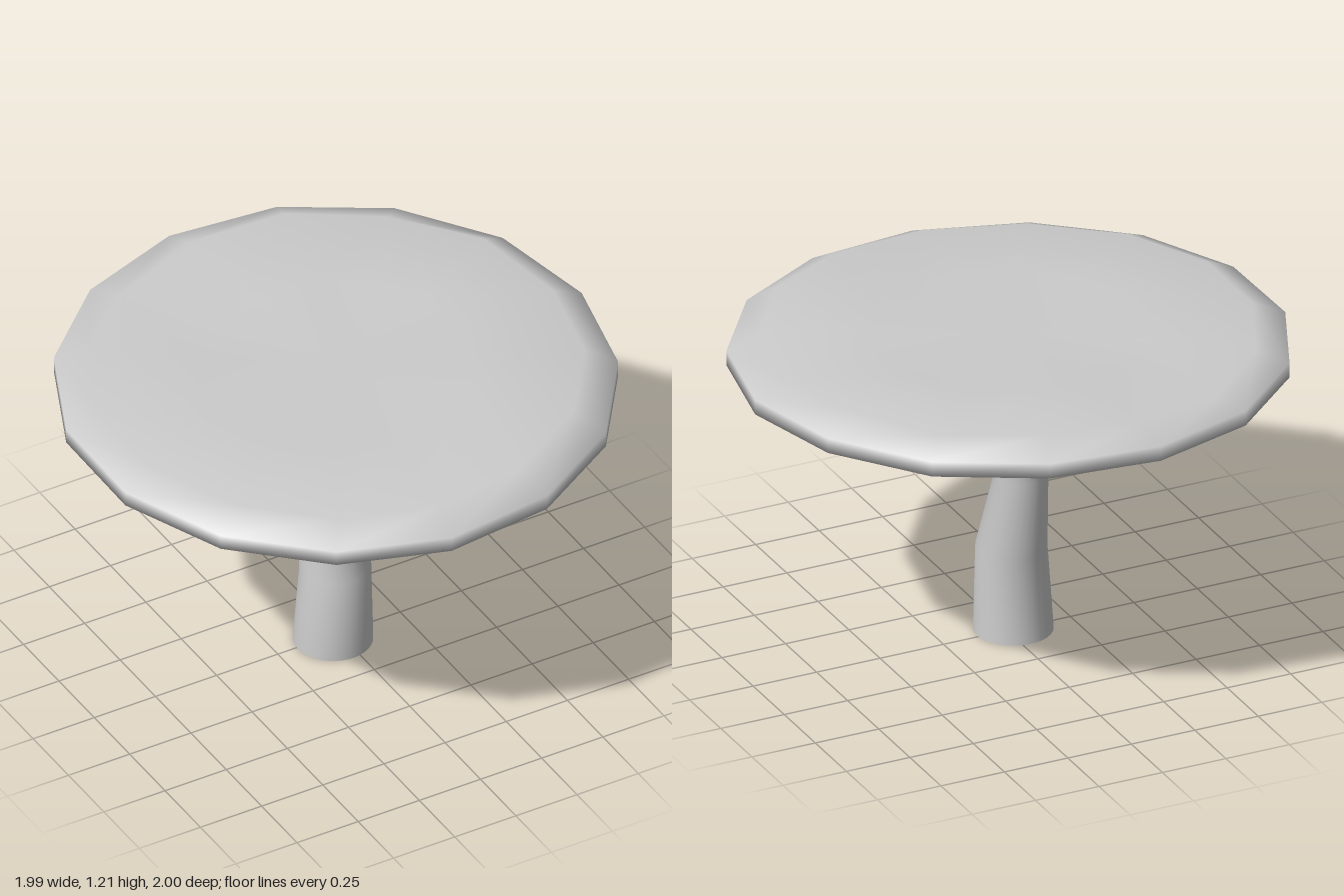
import * as THREE from 'three';

const material = new THREE.MeshStandardMaterial({ color: 0xcccccc, side: THREE.DoubleSide });

// Smooth skin over stacked rings; point(ring, i, angle) gives each corner as [x, y, z]
function loft(name, rings, sides, point) {
  const positions = [], index = [];
  rings.forEach((ring, k) => {
    for (let i = 0; i < sides; i++) {
      positions.push(...point(ring, i, (i / sides) * Math.PI * 2));
      if (k === 0) continue;
      const a = (k - 1) * sides + i, b = (k - 1) * sides + ((i + 1) % sides);
      // a zero-radius last ring closes to a shared pole
      if (ring.r === 0) index.push(a, k * sides, b);
      else index.push(a, a + sides, b, b, a + sides, b + sides);
    }
  });
  const geometry = new THREE.BufferGeometry();
  geometry.setAttribute('position', new THREE.Float32BufferAttribute(positions, 3));
  geometry.setIndex(index);
  geometry.computeVertexNormals();
  const mesh = new THREE.Mesh(geometry, material);
  mesh.name = name;
  return mesh;
}

export function createModel() {
  const group = new THREE.Group();
  group.name = 'mushroom';

  // Crooked stem, open at the foot; slope tilts a ring towards the front
  const stemRings = [
    { x: -0.03, y: 0, z: 0.01, r: 0.143, slope: 0 },
    { x: -0.028, y: 0.325, z: 0.022, r: 0.128, slope: 0.07 },
    { x: -0.028, y: 0.64, z: -0.056, r: 0.097, slope: 0 },
    { x: 0, y: 0.9, z: 0.003, r: 0.107, slope: 0 },
    { x: 0, y: 0.93, z: 0.003, r: 0.16, slope: 0 },
  ];
  group.add(loft('stem', stemRings, 30, (s, i, t) => [
    s.x + s.r * Math.cos(t),
    s.y + s.slope * s.r * Math.sin(t),
    s.z + s.r * Math.sin(t),
  ]));

  // Wide, slightly uneven cap, from the flared underside over the rim to the top
  const topHeights = [1.185, 1.185, 1.195, 1.175, 1.165, 1.165, 1.175, 1.185,
    1.185, 1.185, 1.17, 1.195, 1.21, 1.195, 1.21];
  const capRings = [
    { r: 0.11, y: 0.897, tilt: 0, wave: 0 },
    { r: 0.3, y: 0.966, tilt: 0, wave: 0 },
    { r: 0.89, y: 1.025, tilt: 0.015, wave: 0.15 },
    { r: 1.004, y: 1.073, tilt: 0.02, wave: 0.15 },
    { r: 1.004, y: 1.13, tilt: 0.02, wave: 0.15 },
    { r: 0.885, y: 1.183, tilt: 0, wave: 1 },
    { r: 0.5, y: 1.183, tilt: 0, wave: 0.4 },
    { r: 0, y: 1.182, tilt: 0, wave: 0 },
  ];
  group.add(loft('cap', capRings, 15, (c, i, t) => [
    c.r * Math.cos(t) - 0.012 * c.r,
    c.y - c.tilt * Math.sin(t) + c.wave * (topHeights[i] - 1.183),
    c.r * Math.sin(t),
  ]));

  return group;
}
